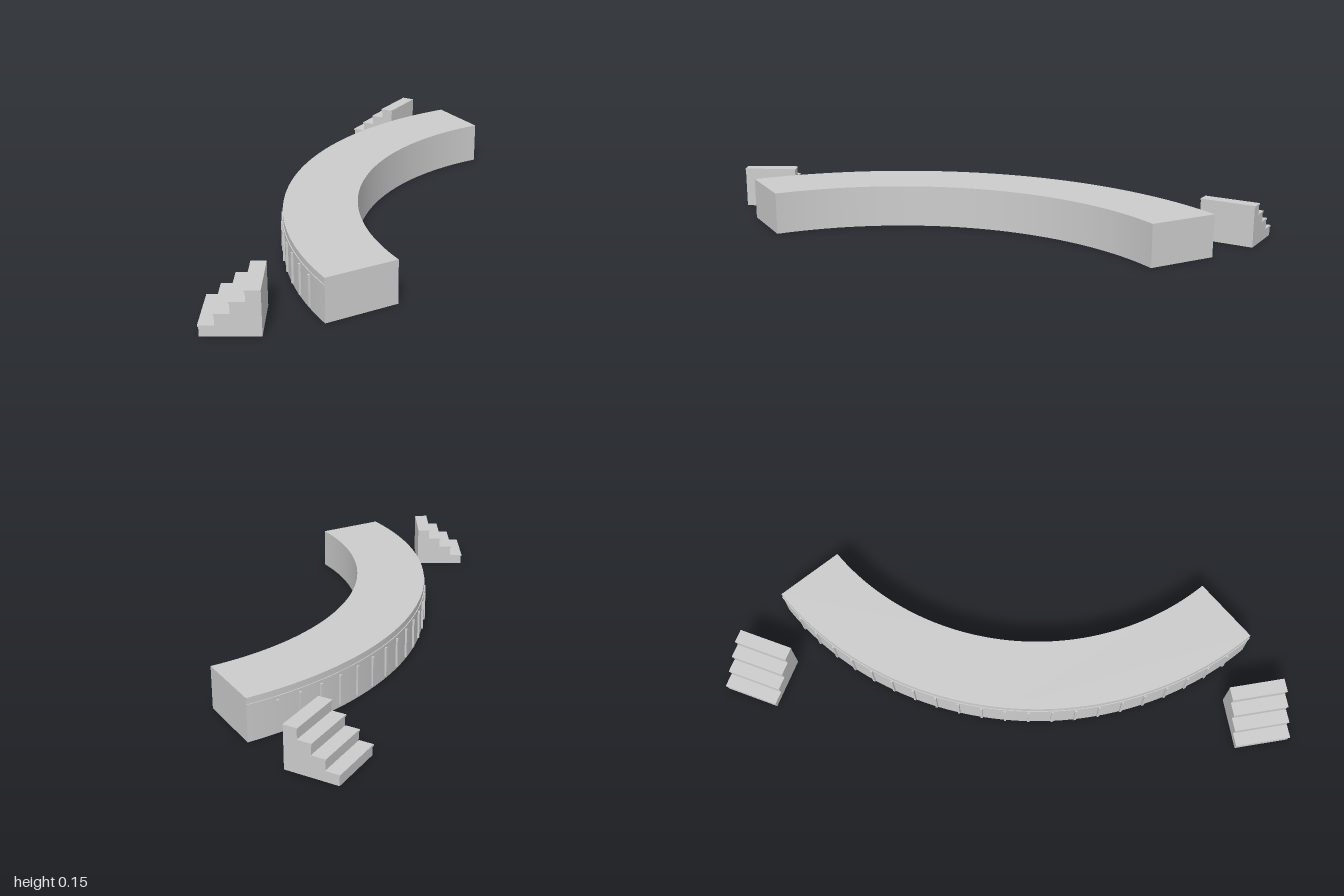
import * as THREE from 'three';
import { toCreasedNormals } from 'three/addons/utils/BufferGeometryUtils.js';

const CX = 0.93;            // centre of the arc on x
const R_IN = 0.93, R_OUT = 1.177;
const HALF = Math.PI / 4;   // half of the arc's sweep

// Curved slab between two radii, from y0 to y1
function arcSlab(name, rIn, rOut, y0, y1, half, material) {
  const shape = new THREE.Shape();
  shape.absarc(0, 0, rOut, Math.PI - half, Math.PI + half, false);
  shape.absarc(0, 0, rIn, Math.PI + half, Math.PI - half, true);
  const geo = new THREE.ExtrudeGeometry(shape, { depth: y1 - y0, bevelEnabled: false, curveSegments: 64 });
  geo.rotateX(-Math.PI / 2);
  geo.translate(CX, y0, 0);
  const mesh = new THREE.Mesh(toCreasedNormals(geo, 0.5), material);
  mesh.name = name;
  return mesh;
}

function box(name, w, h, d, x, y, z, material) {
  const mesh = new THREE.Mesh(new THREE.BoxGeometry(w, h, d), material);
  mesh.position.set(x, y, z);
  mesh.name = name;
  return mesh;
}

// Four solid steps rising along local +x, each with a tread that overhangs a little
function makeStairs(name, material) {
  const stairs = new THREE.Group();
  stairs.name = name;
  const steps = 4, pitch = 0.045, rise = 0.0363, width = 0.19, tread = 0.006, nose = 0.003;
  for (let i = 0; i < steps; i++) {
    const top = rise * (i + 1);
    const x = (i - (steps - 1) / 2) * pitch + nose / 2;
    stairs.add(box('stepBody', pitch, top - tread, width, x, (top - tread) / 2, 0, material));
    stairs.add(box('stepTread', pitch + nose, tread, width + 0.004, x - nose / 2, top - tread / 2, 0, material));
  }
  return stairs;
}

export function createModel() {
  const model = new THREE.Group();
  model.name = 'curvedStage';
  const grey = new THREE.MeshStandardMaterial({ color: 0xcccccc });
  grey.name = 'lightGrey';

  // Curved platform and the moulding under its top edge
  model.add(arcSlab('platform', R_IN, R_OUT, 0, 0.146, HALF, grey));
  model.add(arcSlab('edgeMoulding', R_OUT - 0.004, 1.18, 0.118, 0.125, HALF - 0.001, grey));

  // Upright slats along the outer wall, every four degrees
  const slats = new THREE.Group();
  slats.name = 'wallSlats';
  for (let deg = -40; deg <= 40; deg += 4) {
    const a = THREE.MathUtils.degToRad(deg);
    const r = 1.179;
    const slat = box('slat', 0.01, 0.102, 0.008, CX - r * Math.cos(a), 0.0617, r * Math.sin(a), grey);
    slat.rotation.y = a;
    slats.add(slat);
  }
  model.add(slats);

  // A flight of stairs near each end, mirrored in z
  for (const side of [1, -1]) {
    const stairs = makeStairs(side > 0 ? 'frontStairs' : 'backStairs', grey);
    stairs.position.set(-0.1635, 0, side * 0.8825);
    stairs.rotation.y = side * Math.PI / 12;
    model.add(stairs);
  }
  return model;
}
